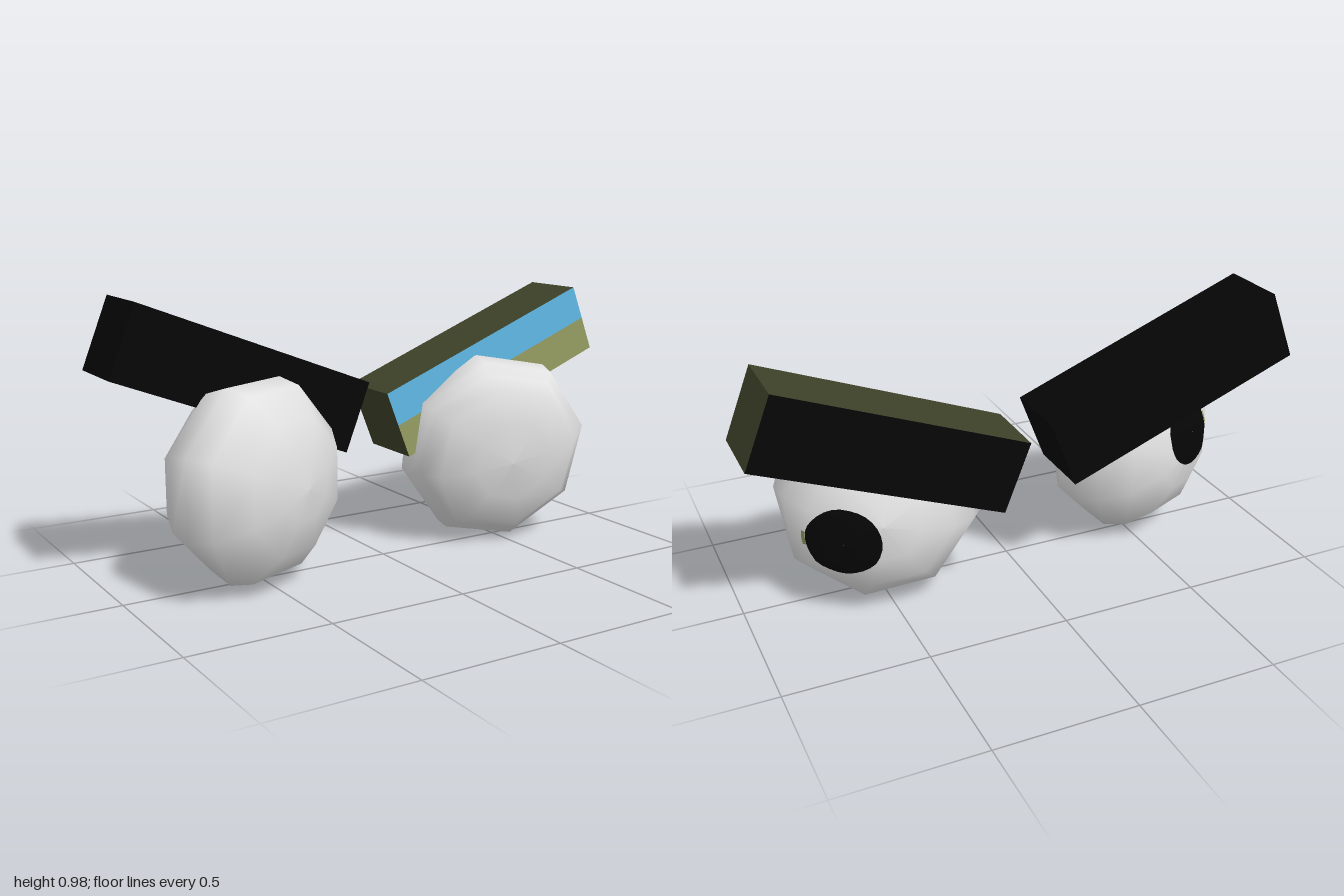
import * as THREE from 'three';

const mat = (name, color) => Object.assign(new THREE.MeshStandardMaterial({ color }), { name });

export function createModel() {
  const model = new THREE.Group();
  const white = mat('eye white', 0xe2e2e2);
  const black = mat('black', 0x060606);
  const darkOlive = mat('dark olive', 0x3e4229);
  const lightOlive = mat('light olive', 0x979d61);
  const blue = mat('sky blue', 0x5fb9e6);

  // Eight-sided eyeball lathed along z, with a pupil moulded onto its back
  function eye(name, profile, pos, side, [pitch, yaw, roll], [px, py]) {
    const group = new THREE.Group();
    group.name = name;
    const geo = new THREE.LatheGeometry(profile.map(p => new THREE.Vector2(...p)), 8, Math.PI / 8);
    geo.rotateX(Math.PI / 2).rotateZ(roll);
    const ball = new THREE.Mesh(geo, white);
    ball.name = name + 'Ball';
    group.add(ball);

    // Lays a flat ring onto the back of the ball
    const ray = new THREE.Raycaster();
    function patch(part, ring, material) {
      ring.rotateY(Math.PI).translate(px, py, 0);
      const p = ring.attributes.position;
      for (let i = 0; i < p.count; i++) {
        ray.set(new THREE.Vector3(p.getX(i), p.getY(i), -1), new THREE.Vector3(0, 0, 1));
        const hit = ray.intersectObject(ball)[0];
        p.setZ(i, (hit ? hit.point.z : -0.1) - 0.006);
      }
      ring.computeVertexNormals();
      const mesh = new THREE.Mesh(ring, material);
      mesh.name = name + part;
      group.add(mesh);
    }
    patch('Pupil', new THREE.RingGeometry(0.001, 0.126, 28, 6), black);
    // Sliver of iris on the outer edge of the pupil
    const middle = side > 0 ? Math.PI : 0;
    patch('Iris', new THREE.RingGeometry(0.126, 0.138, 6, 1, middle - 0.2, 0.4), lightOlive);

    group.position.set(...pos);
    group.rotation.set(pitch, yaw, 0);
    model.add(group);
  }

  // Profiles run from back to front: [radius, depth]
  const back = [[0, -0.25], [0.13, -0.232], [0.25, -0.17], [0.33, -0.075]];
  eye('rightEye', [...back, [0.362, 0.02], [0.34, 0.11], [0.24, 0.2], [0.11, 0.24], [0, 0.25]],
    [-0.54, 0.367, 0.02], -1, [0, 0.42, 0], [-0.035, 0.085]);
  // The left eye has a creased rim around its front dome
  eye('leftEye', [...back, [0.362, 0.01], [0.355, 0.09], [0.322, 0.095], [0.318, 0.135], [0.27, 0.19], [0.15, 0.232], [0, 0.245]],
    [0.503, 0.357, -0.035], 1, [0.12, -0.25, -0.15], [0.135, -0.055]);

  // Slanted brows
  const browDepth = 0.255, browZ = -0.158, tilt = 0.374;
  const rightBrow = new THREE.Mesh(new THREE.BoxGeometry(0.93, 0.264, browDepth), black);
  rightBrow.name = 'rightBrow';
  rightBrow.position.set(-0.52, 0.69, browZ);
  rightBrow.rotation.z = -tilt;
  model.add(rightBrow);

  // The left brow has a two-tone front and a black back
  const leftBrow = new THREE.Group();
  leftBrow.name = 'leftBrow';
  for (const [name, y, front] of [['leftBrowUpper', 0.066, blue], ['leftBrowLower', -0.066, lightOlive]]) {
    const half = new THREE.Mesh(new THREE.BoxGeometry(0.93, 0.132, browDepth),
      [darkOlive, darkOlive, darkOlive, darkOlive, front, black]);
    half.name = name;
    half.position.y = y;
    leftBrow.add(half);
  }
  leftBrow.position.set(0.518, 0.64, browZ);
  leftBrow.rotation.z = tilt;
  model.add(leftBrow);

  return model;
}
